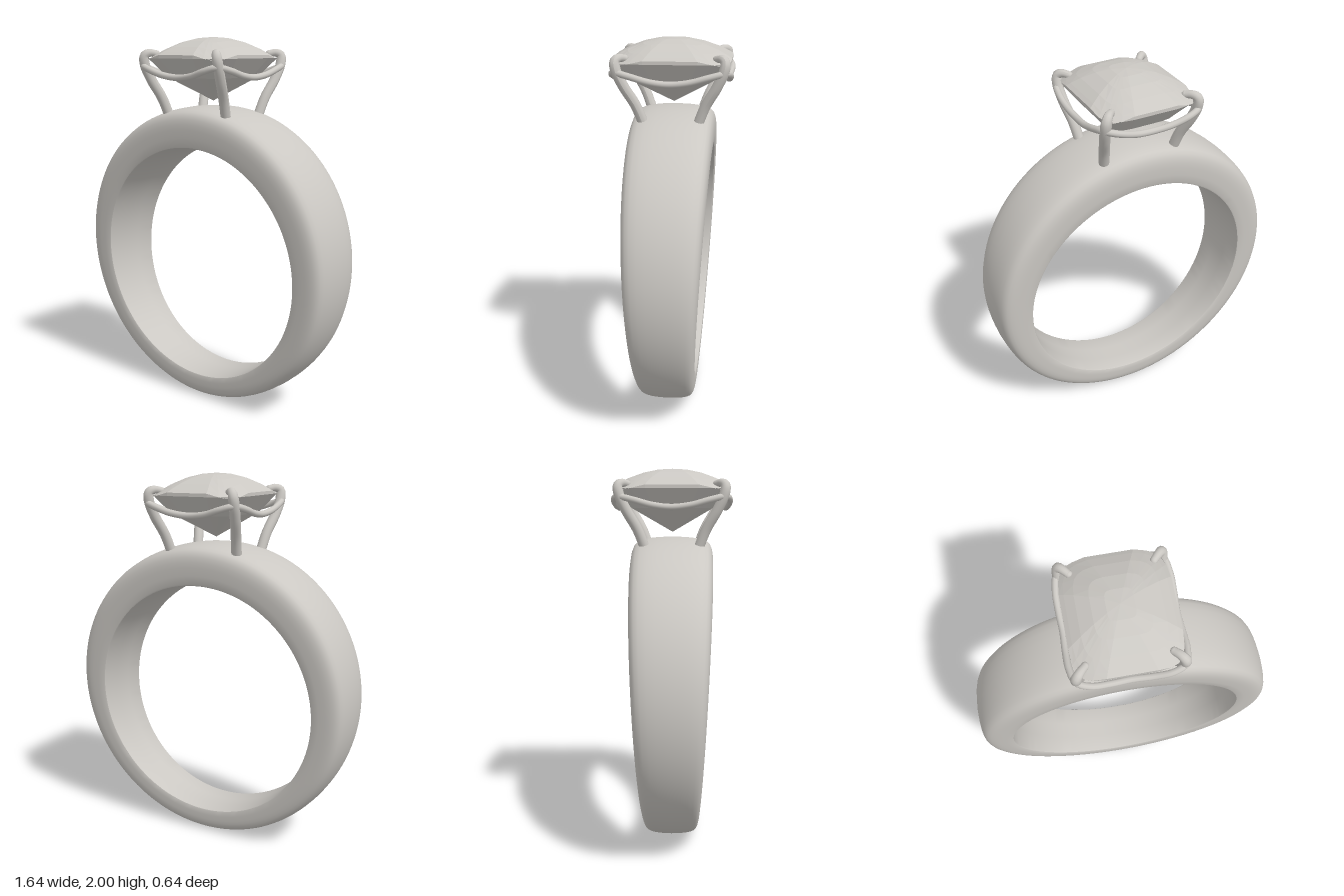
import * as THREE from 'three';
import { toCreasedNormals } from 'three/addons/utils/BufferGeometryUtils.js';

// Skin a list of point loops; every loop is closed, the rows optionally too.
function skin(rows, closeRows) {
  const n = rows[0].length, m = rows.length, index = [];
  for (let r = 0; r < (closeRows ? m : m - 1); r++) {
    for (let c = 0; c < n; c++) {
      const a = r * n + c, b = r * n + (c + 1) % n;
      const r2 = ((r + 1) % m) * n, d = r2 + c, e = r2 + (c + 1) % n;
      index.push(a, b, d, b, e, d);
    }
  }
  const g = new THREE.BufferGeometry();
  g.setAttribute('position', new THREE.Float32BufferAttribute(rows.flat(2), 3));
  g.setIndex(index);
  return g;
}

// Comfort band: eccentric inner and outer circles, wider and thicker at the top.
function bandGeometry() {
  const half = [[0, 0.3], [0, 0.94], [0.015, 0.975], [0.05, 0.99], [0.25, 1], [0.45, 1], [0.58, 0.99],
    [0.7, 0.965], [0.8, 0.92], [0.87, 0.85], [0.92, 0.74], [0.96, 0.56], [0.985, 0.34], [1, 0]];
  const mirror = half.slice(0, -1).reverse().map(([t, w]) => [t, -w]);
  const section = [...half, ...mirror];
  const rows = [];
  for (let i = 0; i < 128; i++) {
    const a = i / 128 * Math.PI * 2;
    rows.push(section.map(([t, w]) => {
      const r = THREE.MathUtils.lerp(0.645, 0.82, t);
      const y = THREE.MathUtils.lerp(0.778, 0.82, t) + r * Math.sin(a);
      return [r * Math.cos(a), y, w * (0.137 + 0.053 * y)];
    }));
  }
  return toCreasedNormals(skin(rows, true), 0.7);
}

// Cushion-cut stone: domed crown, thin girdle and pointed pavilion, all flat facets.
function stoneGeometry() {
  const n = 24, power = 2 / 5;
  const outline = [];
  for (let k = 0; k < n; k++) {
    const a = (k + 0.5) / n * Math.PI * 2, c = Math.cos(a), s = Math.sin(a);
    outline.push([Math.sign(c) * Math.abs(c) ** power, Math.sign(s) * Math.abs(s) ** power]);
  }
  const ring = (scale, height) => outline.map(([u, v]) => [
    0.262 * u * scale,
    height ?? 2 - 0.078 * scale * scale * (u * u + v * v),
    0.307 * v * scale]);
  const rows = [ring(0, 2), ring(0.25), ring(0.5), ring(0.75), ring(0.92), ring(1),
    ring(1, 1.89), ring(0.7, 1.79), ring(0, 1.665)];
  const g = skin(rows, false).toNonIndexed();
  g.computeVertexNormals();
  return g;
}

const vec = (p) => new THREE.Vector3(...p);

// Claw: a tube that narrows towards its hooked tip.
const clawPath = [[0.195, 1.57, 0.135], [0.213, 1.68, 0.178], [0.238, 1.78, 0.235],
  [0.249, 1.86, 0.27], [0.244, 1.905, 0.275], [0.225, 1.917, 0.256], [0.2, 1.912, 0.23]];

function clawGeometry(curve) {
  const steps = 40, sides = 14, g = new THREE.TubeGeometry(curve, steps, 0.027, sides, false);
  const p = g.attributes.position, v = new THREE.Vector3();
  for (let i = 0; i <= steps; i++) {
    const centre = curve.getPointAt(i / steps);
    const k = 1 - 0.3 * THREE.MathUtils.smoothstep(i / steps, 0.75, 1);
    for (let j = 0; j <= sides; j++) {
      const id = i * (sides + 1) + j;
      v.fromBufferAttribute(p, id).sub(centre).multiplyScalar(k).add(centre);
      p.setXYZ(id, v.x, v.y, v.z);
    }
  }
  g.computeVertexNormals();
  return g;
}

export function createModel() {
  const group = new THREE.Group();
  group.name = 'ring';
  const metal = new THREE.MeshStandardMaterial({ color: 0xcbc8c3 });
  metal.name = 'pale grey';
  const add = (name, geometry, parent = group) => {
    const mesh = new THREE.Mesh(geometry, metal);
    mesh.name = name;
    parent.add(mesh);
    return mesh;
  };

  add('band', bandGeometry());
  add('stone', stoneGeometry());

  // Four claws, one in each corner
  for (const sx of [1, -1]) {
    for (const sz of [1, -1]) {
      const claw = new THREE.Group();
      claw.name = (sz > 0 ? 'front' : 'back') + (sx > 0 ? 'Left' : 'Right') + 'Claw';
      const points = clawPath.map(([x, y, z]) => vec([x * sx, y, z * sz]));
      add('clawStem', clawGeometry(new THREE.CatmullRomCurve3(points)), claw);
      const tip = add('clawTip', new THREE.SphereGeometry(0.019, 14, 10), claw);
      tip.position.copy(points[points.length - 1]);
      group.add(claw);
    }
  }

  // Gallery wire, dipping between the claws
  const quarter = [[0.27, 1.794, 0], [0.274, 1.805, 0.1], [0.272, 1.832, 0.2], [0.25, 1.848, 0.278],
    [0.19, 1.832, 0.3], [0.1, 1.805, 0.294], [0, 1.794, 0.286]];
  const loop = [
    ...quarter,
    ...quarter.slice(0, -1).reverse().map(([x, y, z]) => [-x, y, z]),
    ...quarter.slice(1).map(([x, y, z]) => [-x, y, -z]),
    ...quarter.slice(1, -1).reverse().map(([x, y, z]) => [x, y, -z]),
  ].map(vec);
  add('galleryWire', new THREE.TubeGeometry(new THREE.CatmullRomCurve3(loop, true), 120, 0.017, 10, true));

  return group;
}
